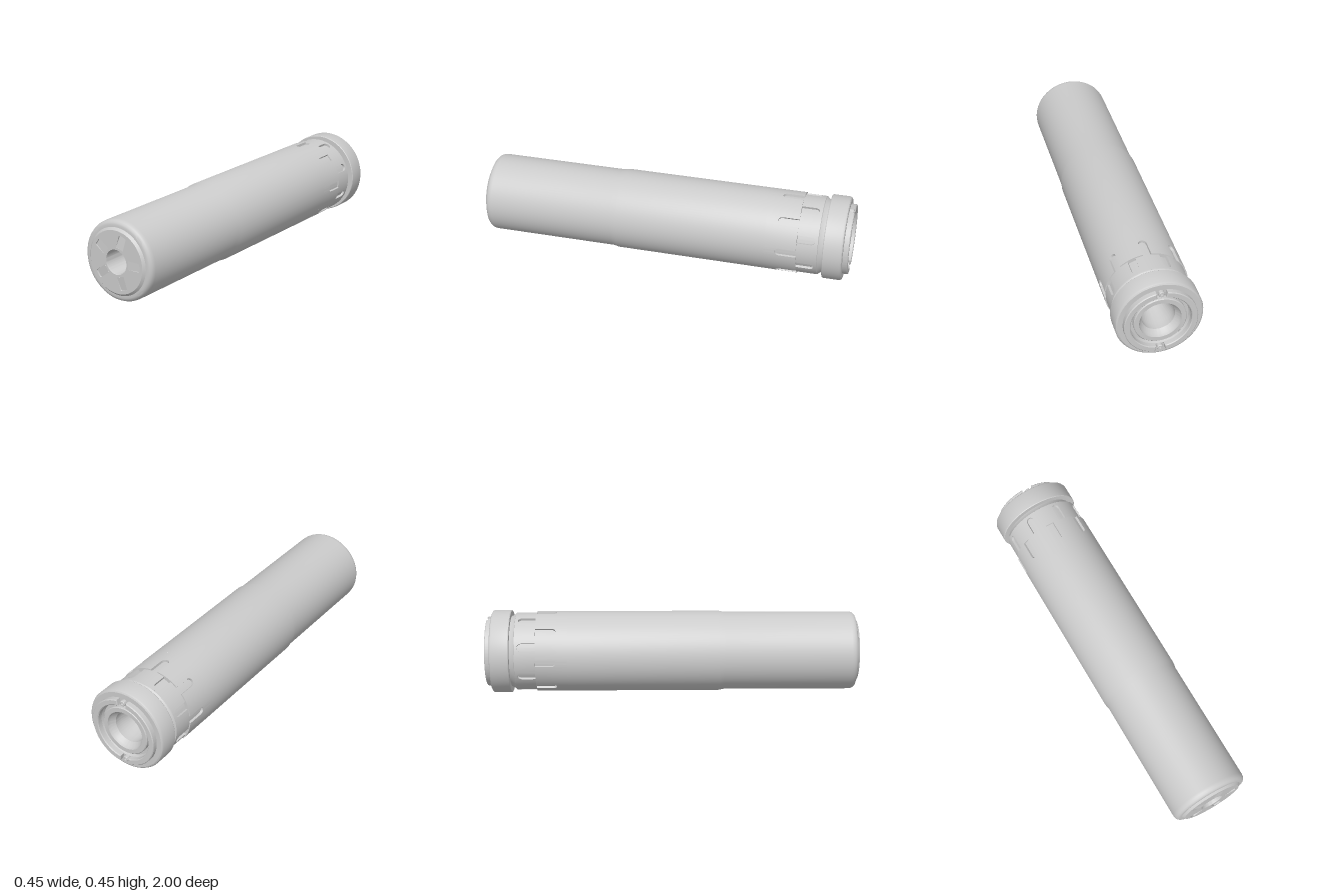
import * as THREE from 'three';
import { toCreasedNormals } from 'three/addons/utils/BufferGeometryUtils.js';

const material = new THREE.MeshStandardMaterial({ color: 0xcccccc });
const AXIS_Y = 0.224;

function part(parent, name, geometry, crease = 0.5) {
  const mesh = new THREE.Mesh(toCreasedNormals(geometry, crease), material);
  mesh.name = name;
  parent.add(mesh);
  return mesh;
}

// Turned part along z; profile is [radius, z] pairs
function turned(profile) {
  const points = profile.map(([r, z]) => new THREE.Vector2(r, z));
  return new THREE.LatheGeometry(points, 96).rotateX(Math.PI / 2);
}

// Sleeve with eight grooves that are open at zOpen and end in a rounded edge at zEnd
function groovedSleeve(zOpen, zEnd, zFar, rOuter, rFloor, phase) {
  const dir = Math.sign(zFar - zOpen), half = 0.021, halfAngle = half / rOuter;
  const columns = [];
  const sector = Math.PI / 4, steps = 10;
  for (let k = 0; k < 8; k++) {
    const mid = phase + k * sector;
    for (let i = 0; i <= steps; i++) {
      const u = -Math.cos((i / steps) * Math.PI);
      const end = zEnd - dir * half * (1 - Math.sqrt(Math.max(0, 1 - u * u)));
      columns.push({ a: mid + u * halfAngle, end, r: rFloor });
    }
    for (let i = 0; i <= steps; i++) {
      const a = mid + halfAngle + (i / steps) * (sector - 2 * halfAngle);
      columns.push({ a, end: zEnd - dir * half, r: rOuter });
    }
  }
  columns.push({ ...columns[0], a: columns[0].a + Math.PI * 2 });

  const position = [], index = [], rows = 5;
  columns.forEach(({ a, end, r }, c) => {
    const section = [[0.185, zOpen], [r, zOpen], [r, end], [rOuter, end], [rOuter, zFar]];
    section.forEach(([rad, z], j) => {
      position.push(rad * Math.cos(a), rad * Math.sin(a), z);
      if (c === columns.length - 1 || j === rows - 1) return;
      const p = c * rows + j, q = p + rows;
      if (dir > 0) index.push(p, q, q + 1, p, q + 1, p + 1);
      else index.push(p, q + 1, q, p, p + 1, q + 1);
    });
  });
  const geometry = new THREE.BufferGeometry();
  geometry.setAttribute('position', new THREE.Float32BufferAttribute(position, 3));
  geometry.setIndex(index);
  return geometry;
}

// Rounded pocket outline reaching outward from the bore at a given angle
function pocketPath(angle) {
  const r0 = 0.075, r1 = 0.145, h = 0.022, c = 0.01;
  const outline = new THREE.Shape();
  outline.moveTo(r0, -h);
  outline.lineTo(r1 - c, -h);
  outline.quadraticCurveTo(r1, -h, r1, -h + c);
  outline.lineTo(r1, h - c);
  outline.quadraticCurveTo(r1, h, r1 - c, h);
  outline.lineTo(r0, h);
  const origin = new THREE.Vector2();
  return new THREE.Path(outline.getPoints(6).map((p) => p.rotateAround(origin, angle)));
}

export function createModel() {
  const model = new THREE.Group();
  model.name = 'cylinder';
  const body = new THREE.Group();
  body.name = 'body';
  body.position.y = AXIS_Y;
  model.add(body);

  // Main tube: thicker rear half, slimmer front half with a rounded nose
  part(body, 'mainTube', turned([
    [0.216, -0.56], [0.216, 0.25], [0.21, 0.28], [0.21, 0.955], [0.2085, 0.968], [0.204, 0.978],
    [0.197, 0.985], [0.188, 0.988], [0.175, 0.988], [0.163, 1],
  ]), 0.6);

  // Two rows of staggered grooves towards the rear
  part(body, 'tubeGrooves', groovedSleeve(-0.73, -0.62, -0.56, 0.216, 0.203, 0));
  part(body, 'ringGrooves', groovedSleeve(-0.73, -0.825, -0.84, 0.21, 0.197, Math.PI / 8));

  // Tapered neck in front of the rear collar
  part(body, 'neck', turned([[0.19, -0.875], [0.193, -0.862], [0.206, -0.842], [0.21, -0.84]]));

  // Rear collar with stepped end face
  part(body, 'rearCollar', turned([
    [0.15, -0.955], [0.156, -0.972], [0.195, -0.972], [0.213, -0.972], [0.22, -0.968], [0.224, -0.96],
    [0.224, -0.872], [0.221, -0.868], [0.18, -0.868],
  ]));
  part(body, 'rearInsert', turned([
    [0.062, -0.8], [0.085, -0.9], [0.085, -0.945], [0.102, -0.965], [0.107, -0.982],
    [0.13, -0.982], [0.134, -0.978], [0.134, -0.955], [0.152, -0.955],
  ]));

  // Raised lip in two halves, leaving a notch at top and bottom
  const gap = 0.17;
  for (const start of [-Math.PI / 2, Math.PI / 2]) {
    const arc = new THREE.Shape();
    arc.absarc(0, 0, 0.183, start + gap, start + Math.PI - gap, false);
    arc.absarc(0, 0, 0.159, start + Math.PI - gap, start + gap, true);
    const lip = new THREE.ExtrudeGeometry(arc, {
      depth: 0.026, curveSegments: 40, bevelThickness: 0.004, bevelSize: 0.004, bevelSegments: 1,
    });
    part(body, 'rearLip', lip.translate(0, 0, -0.996));
  }

  // Small hollow pins standing in the notches
  for (const side of [1, -1]) {
    const pin = turned([
      [0.0001, -0.98], [0.007, -0.98], [0.007, -0.993], [0.013, -0.993], [0.015, -0.99], [0.015, -0.965],
    ]);
    part(body, 'notchPin', pin.translate(0, side * 0.17, 0));
  }

  // Front plate with bore and five ramped pockets
  const plate = new THREE.Shape().absarc(0, 0, 0.163, 0, Math.PI * 2, false);
  plate.holes.push(new THREE.Path().absarc(0, 0, 0.0645, 0, Math.PI * 2, true));
  const pockets = new THREE.Group();
  pockets.name = 'pocketFloors';
  body.add(pockets);
  for (let i = 0; i < 5; i++) {
    const angle = (i * Math.PI * 2) / 5;
    plate.holes.push(pocketPath(angle));
    const floor = new THREE.PlaneGeometry(0.072, 0.046)
      .rotateY(0.12).translate(0.111, 0, 0.9957).rotateZ(angle);
    part(pockets, 'pocketFloor', floor);
  }
  const plateGeometry = new THREE.ExtrudeGeometry(plate, { depth: 0.014, curveSegments: 48, bevelEnabled: false });
  part(body, 'frontPlate', plateGeometry.translate(0, 0, 0.986));

  // Bore running the whole length
  part(body, 'bore', turned([[0.0645, 1], [0.0615, 0.992], [0.062, -0.8]]));

  return model;
}
